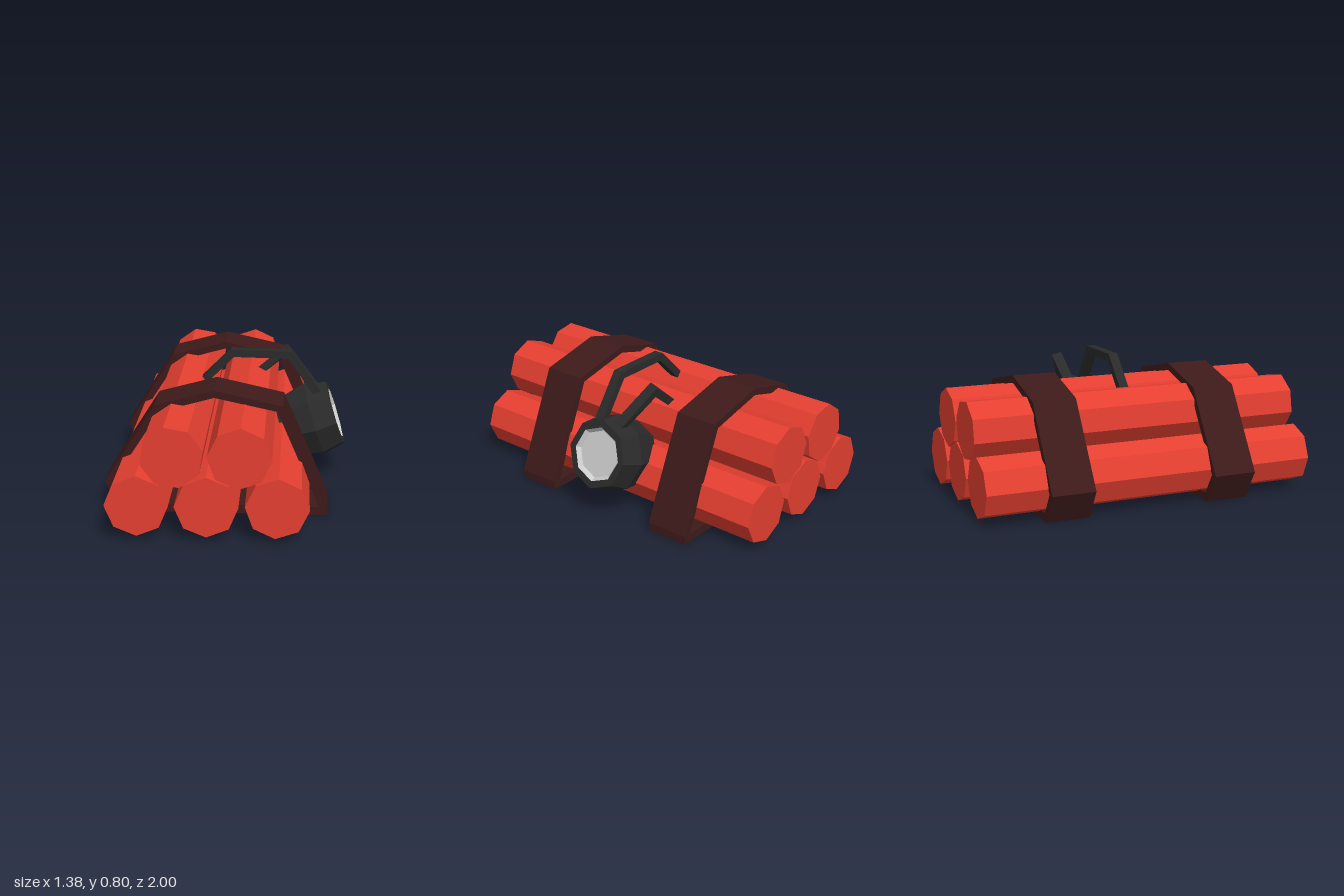
import * as THREE from 'three';

const paint = (color) => new THREE.MeshStandardMaterial({ color, flatShading: true });

// Rectangular bar swept along a polyline with mitred corners
function bentBar(points, side, halfWidth, halfHeight) {
  const pts = points.map((p) => new THREE.Vector3(...p));
  const ref = new THREE.Vector3(...side);
  const last = pts.length - 1;
  const pos = [];
  const index = [];
  pts.forEach((p, i) => {
    const before = i > 0 ? p.clone().sub(pts[i - 1]) : pts[1].clone().sub(p);
    const after = i < last ? pts[i + 1].clone().sub(p) : before.clone();
    before.normalize();
    const t = before.clone().add(after.normalize()).normalize();
    const s = ref.clone().addScaledVector(t, -ref.dot(t)).normalize();
    const up = new THREE.Vector3().crossVectors(t, s).multiplyScalar(1 / t.dot(before));
    for (const [u, v] of [[1, 1], [-1, 1], [-1, -1], [1, -1]]) {
      const c = p.clone().addScaledVector(s, u * halfWidth).addScaledVector(up, v * halfHeight);
      pos.push(c.x, c.y, c.z);
    }
  });
  for (let i = 0; i < last; i++) {
    for (let k = 0; k < 4; k++) {
      const a = i * 4 + k;
      const b = i * 4 + ((k + 1) % 4);
      index.push(a, b, b + 4, a, b + 4, a + 4);
    }
  }
  const e = last * 4;
  index.push(0, 2, 1, 0, 3, 2, e, e + 1, e + 2, e, e + 2, e + 3);
  const g = new THREE.BufferGeometry();
  g.setAttribute('position', new THREE.Float32BufferAttribute(pos, 3));
  g.setIndex(index);
  const flat = g.toNonIndexed();
  flat.computeVertexNormals();
  return flat;
}

export function createModel() {
  const group = new THREE.Group();
  const red = paint(0xe43f30);
  const leather = paint(0x3e1a1a);
  const black = paint(0x2a2a2a);
  const add = (name, geometry, material, parent = group) => {
    const mesh = new THREE.Mesh(geometry, material);
    mesh.name = name;
    parent.add(mesh);
    return mesh;
  };

  // Stacked octagonal sticks: x, y, roll in degrees
  const sticks = [[-0.46, 0.203, 0], [-0.083, 0.203, 0], [0.297, 0.203, -3], [-0.265, 0.482, 13], [0.095, 0.482, -3]];
  for (const [x, y, roll] of sticks) {
    const g = new THREE.CylinderGeometry(0.173, 0.173, 2, 8);
    g.rotateX(Math.PI / 2).rotateZ(THREE.MathUtils.degToRad(roll));
    add('stick', g, red).position.set(x, y, 0);
  }

  // Two straps wrapped around the bundle
  const toPoints = (list) => list.map(([x, y]) => new THREE.Vector2(x, y));
  const outline = new THREE.Shape(toPoints([
    [-0.59, 0], [0.575, 0], [0.575, 0.05], [0.317, 0.645], [-0.065, 0.73], [-0.397, 0.64], [-0.69, 0.175],
  ]));
  outline.holes.push(new THREE.Path(toPoints([
    [-0.57, 0.05], [-0.645, 0.175], [-0.37, 0.602], [-0.065, 0.688], [0.285, 0.613], [0.527, 0.05],
  ])));
  for (const z of [0.345, -0.65]) {
    const g = new THREE.ExtrudeGeometry(outline, { depth: 0.257, bevelEnabled: false });
    add('strap', g, leather).position.z = z;
  }

  // Lamp pointing out of the side and slightly upwards
  const lamp = new THREE.Group();
  lamp.name = 'lamp';
  lamp.position.set(0.627, 0.392, -0.053);
  lamp.rotation.z = THREE.MathUtils.degToRad(-72);
  group.add(lamp);
  const housing = new THREE.LatheGeometry(
    toPoints([[0, -0.33], [0.18, -0.33], [0.233, -0.13], [0.203, 0], [0.16, 0]]), 8);
  // The underside of the housing stays deeper towards the back
  const p = housing.attributes.position;
  for (let i = 0; i < p.count; i++) {
    if (p.getY(i) < -0.3 && p.getX(i) > 0) p.setX(i, p.getX(i) * 1.15);
  }
  add('lampHousing', housing, black, lamp);
  const lens = toPoints([[0.16, 0], [0.14, -0.025], [0, -0.025]]);
  add('lampLens', new THREE.LatheGeometry(lens, 8), paint(0xcccccc), lamp);

  // Bent wires from the lamp to the sticks
  add('longWire', bentBar([
    [-0.22, 0.555, 0], [0.005, 0.78, 0.005], [0.347, 0.775, 0.012], [0.51, 0.54, 0.015],
  ], [0, 0, 1], 0.028, 0.022), black);
  add('shortWire', bentBar([
    [0.14, 0.585, -0.21], [0.325, 0.737, -0.222], [0.51, 0.53, -0.11],
  ], [0, 0.25, 0.97], 0.03, 0.023), black);
  return group;
}
